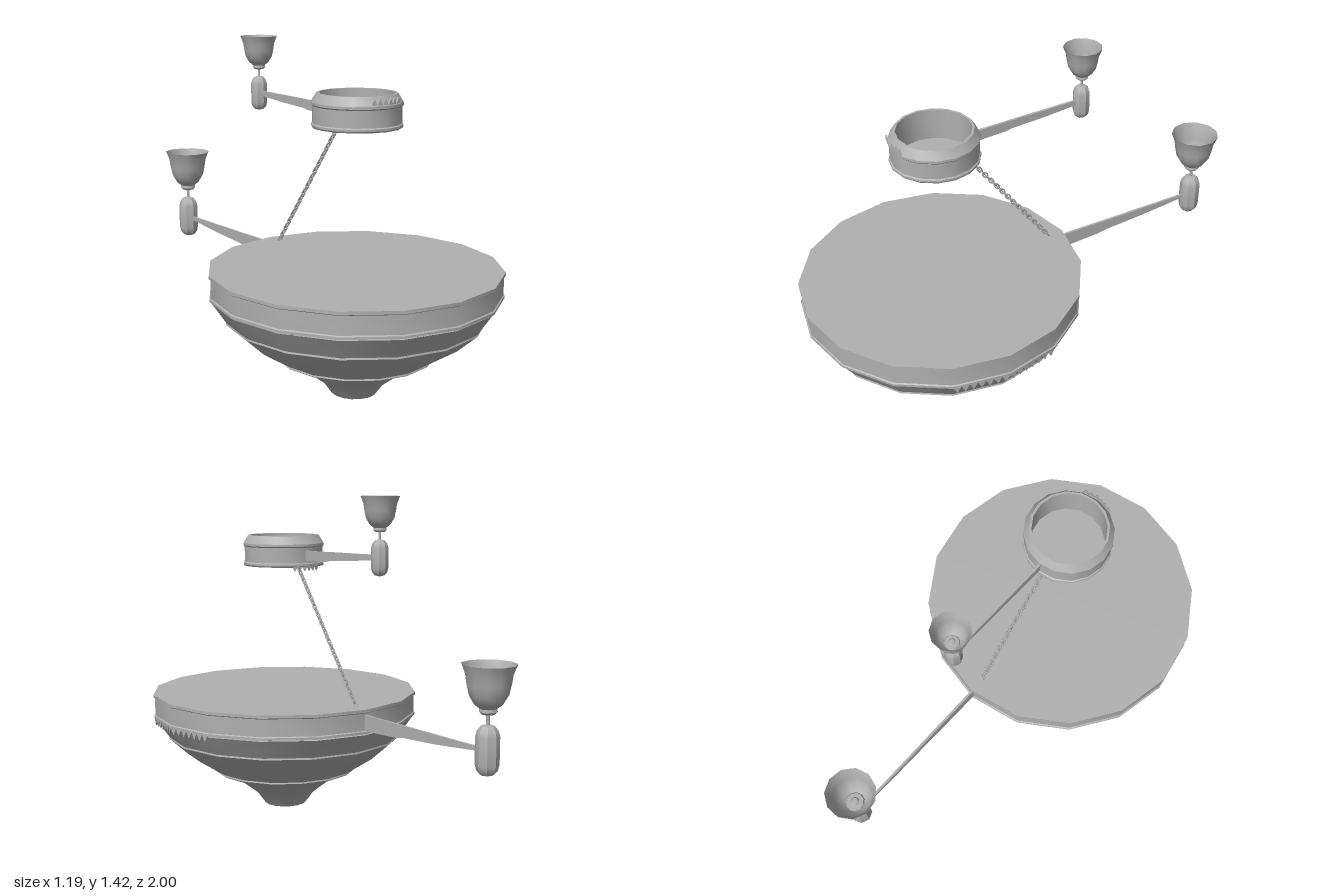
import * as THREE from 'three';
import { toCreasedNormals } from 'three/addons/utils/BufferGeometryUtils.js';

const grey = new THREE.MeshStandardMaterial({ color: 0xb0b0b0, side: THREE.DoubleSide });
grey.name = 'grey metal';

const BOWL_Z = 0.405;

function mesh(name, geometry, parent) {
  const m = new THREE.Mesh(geometry, grey);
  m.name = name;
  parent.add(m);
  return m;
}

// Turned part from [radius, height] pairs, bottom to top
function turned(name, profile, sides, parent, crease = 0.5) {
  const g = new THREE.LatheGeometry(profile.map(([r, y]) => new THREE.Vector2(r, y)), sides);
  return mesh(name, toCreasedNormals(g, crease), parent);
}

// Zigzag trim on the two rim facets either side of an angle (0 faces +z)
function zigzagTrim(name, radius, angle, y, height, teeth, parent) {
  const half = radius * Math.sin(Math.PI / 16);
  const shape = new THREE.Shape();
  shape.moveTo(-half, 0);
  for (let i = 0; i < teeth; i++) {
    const step = (2 * half) / teeth;
    shape.lineTo(-half + (i + 0.5) * step, height);
    shape.lineTo(-half + (i + 1) * step, 0);
  }
  const g = new THREE.ExtrudeGeometry(shape, { depth: 0.006, bevelEnabled: false });
  for (const side of [-1, 1]) {
    const a = angle + side * Math.PI / 16;
    const r = radius * Math.cos(Math.PI / 16) - 0.003;
    const m = mesh(name, g, parent);
    m.position.set(r * Math.sin(a), y, BOWL_Z + r * Math.cos(a));
    m.rotation.y = a;
  }
}

// Tapered flat arm running back along z: [z, bottom, top] stations
function arm(name, stations, parent) {
  const lower = stations.map(([z, b]) => new THREE.Vector2(-z, b));
  const upper = stations.map(([z, , t]) => new THREE.Vector2(-z, t)).reverse();
  const g = new THREE.ExtrudeGeometry(new THREE.Shape([...lower, ...upper]), { depth: 0.01, bevelEnabled: false });
  g.translate(0, 0, -0.005);
  g.rotateY(Math.PI / 2);
  mesh(name, g, parent);
}

// Pod with a stem and an open bell cup, base at the group's origin
function lamp(name, y, z, scale, parent) {
  const g = new THREE.Group();
  g.name = name;
  turned('pod', [[0, 0], [0.026, 0.006], [0.04, 0.022], [0.046, 0.045], [0.046, 0.15],
    [0.04, 0.173], [0.026, 0.19], [0, 0.196]], 8, g, 0.6);
  const stem = mesh('stem', new THREE.CylinderGeometry(0.007, 0.007, 0.06, 8), g);
  stem.position.y = 0.215;
  turned('cup', [[0, 0.232], [0.026, 0.234], [0.035, 0.243], [0.033, 0.255], [0.055, 0.272],
    [0.075, 0.305], [0.084, 0.345], [0.089, 0.38], [0.105, 0.42]], 11, g, 0.7);
  turned('cupBoss', [[0.04, 0.262], [0.035, 0.272], [0.018, 0.272], [0.012, 0.28], [0, 0.28]], 11, g);
  g.scale.setScalar(scale);
  g.position.set(0, y, z);
  parent.add(g);
}

// Chain of alternating oval links between two points
function chain(from, to, count, parent) {
  const g = new THREE.Group();
  g.name = 'chain';
  const length = from.distanceTo(to);
  const pitch = length / count;
  const link = new THREE.TorusGeometry(0.0085, 0.003, 5, 10);
  link.scale(1, (pitch * 0.72) / 0.0085, 1);
  for (let i = 0; i < count; i++) {
    const m = mesh('chainLink', link, g);
    m.position.y = (i + 0.5) * pitch;
    m.rotation.y = (i % 2) * Math.PI / 2;
  }
  g.position.copy(from);
  g.quaternion.setFromUnitVectors(new THREE.Vector3(0, 1, 0), to.clone().sub(from).normalize());
  parent.add(g);
}

export function createModel() {
  const model = new THREE.Group();
  model.name = 'hangingBowls';

  // Large stepped bowl with a flat lid
  turned('largeBowl', [[0, 0], [0.094, 0], [0.13, 0.05], [0.222, 0.122], [0.325, 0.166],
    [0.33, 0.17], [0.328, 0.176], [0.45, 0.255], [0.527, 0.325], [0.532, 0.329], [0.53, 0.336],
    [0.588, 0.422]], 16, model).position.z = BOWL_Z;
  turned('largeRim', [[0.58, 0.424], [0.596, 0.428], [0.596, 0.438], [0.591, 0.442], [0.591, 0.516],
    [0.597, 0.52], [0.597, 0.533], [0, 0.533]], 16, model).position.z = BOWL_Z;
  zigzagTrim('largeRimTrim', 0.592, Math.PI / 2, 0.43, -0.03, 7, model);

  // Small open bowl above
  turned('smallBowl', [[0, 1.1], [0.178, 1.1], [0.182, 1.106], [0.182, 1.114], [0.177, 1.118],
    [0.177, 1.185], [0.182, 1.19], [0.182, 1.2], [0.16, 1.235], [0.15, 1.235], [0.15, 1.104],
    [0, 1.104]], 16, model).position.z = BOWL_Z;
  zigzagTrim('smallRimTrim', 0.184, 0, 1.205, 0.025, 3, model);
  zigzagTrim('smallBaseTrim', 0.18, Math.PI, 1.104, -0.02, 3, model);

  // Arms and their lamps
  arm('lowerArm', [[-0.16, 0.44, 0.51], [-0.38, 0.449, 0.508], [-0.43, 0.457, 0.507],
    [-0.63, 0.468, 0.505], [-0.87, 0.489, 0.503]], model);
  arm('upperArm', [[0.24, 1.125, 1.172], [0.09, 1.132, 1.174], [0.06, 1.138, 1.175],
    [-0.08, 1.145, 1.177], [-0.25, 1.159, 1.18]], model);
  lamp('lowerLamp', 0.4, -0.895, 1, model);
  lamp('upperLamp', 1.094, -0.27, 0.765, model);

  // Chain joining the two bowls
  chain(new THREE.Vector3(0, 0.535, -0.12), new THREE.Vector3(0, 1.1, 0.295), 32, model);

  return model;
}
